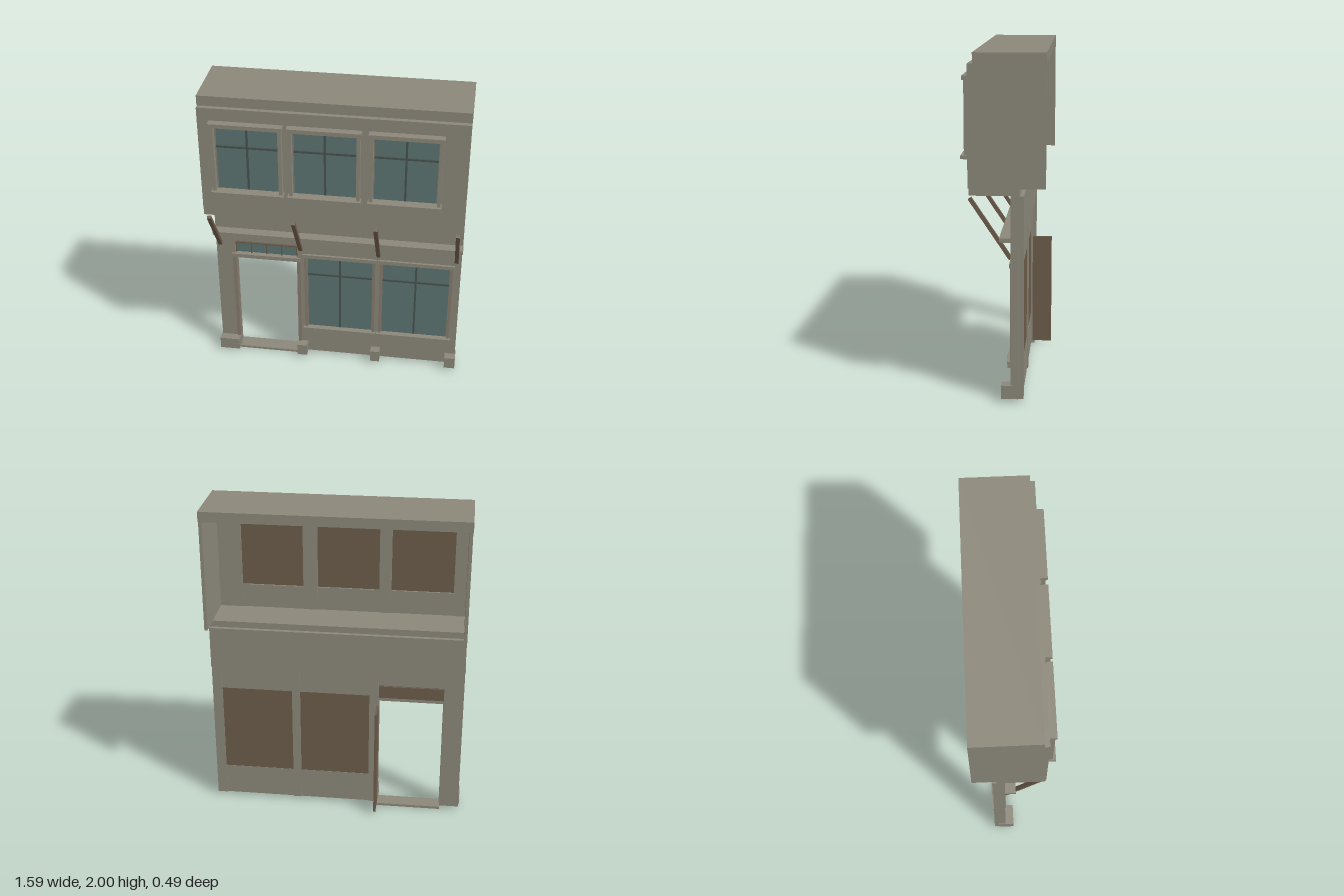
import * as THREE from 'three';

const stone = new THREE.MeshStandardMaterial({ name: 'stone', color: 0x8b877a });
const trim = new THREE.MeshStandardMaterial({ name: 'trim', color: 0x857a6c });
const wood = new THREE.MeshStandardMaterial({ name: 'brown wood', color: 0x6c5c4a });
const glass = new THREE.MeshStandardMaterial({ name: 'teal glass', color: 0x5d7572 });
const bar = new THREE.MeshStandardMaterial({ name: 'dark glazing bar', color: 0x47524e });

export function createModel() {
  const root = new THREE.Group();
  root.name = 'shopFront';

  // Box given by its extents
  const box = (name, mat, x0, x1, y0, y1, z0, z1, parent = root) => {
    const m = new THREE.Mesh(new THREE.BoxGeometry(x1 - x0, y1 - y0, z1 - z0), mat);
    m.position.set((x0 + x1) / 2, (y0 + y1) / 2, (z0 + z1) / 2);
    m.name = name;
    parent.add(m);
    return m;
  };

  // Glazed opening: pane, wooden back, edge trim and a cross of glazing bars
  const glazing = (name, x0, x1, y0, y1, zGlass, zBack, yBar) => {
    const g = new THREE.Group();
    g.name = name;
    root.add(g);
    box('pane', glass, x0, x1, y0, y1, zGlass - 0.008, zGlass, g);
    box('paneBack', wood, x0, x1, y0, y1, zBack, zGlass - 0.008, g);
    const zf = zGlass + 0.012, t = 0.008;
    box('innerFrame', trim, x0, x0 + t, y0, y1, zGlass, zf, g);
    box('innerFrame', trim, x1 - t, x1, y0, y1, zGlass, zf, g);
    const xc = (x0 + x1) / 2;
    box('verticalBar', bar, xc - 0.006, xc + 0.006, y0, y1, zGlass, zf, g);
    box('crossBar', bar, x0 + t, x1 - t, yBar - 0.006, yBar + 0.006, zGlass, zf - 0.002, g);
    return g;
  };

  // Upper storey: roof slab, side walls, floor ledge and front piers
  box('roofSlab', stone, -0.793, 0.793, 1.938, 2, -0.245, 0.16);
  box('rightWall', stone, -0.79, -0.77, 1.25, 1.938, -0.245, 0.14);
  box('leftWall', stone, 0.77, 0.79, 1.25, 1.938, -0.245, 0.14);
  box('floorLedge', stone, -0.79, 0.79, 1.21, 1.25, -0.1, 0.185);
  for (const [a, b] of [[-0.79, -0.695], [-0.31, -0.235], [0.15, 0.24], [0.625, 0.79]])
    box('upperPier', stone, a, b, 1.25, 1.938, 0.14, 0.19);

  // Upper windows with sill, lintel and jambs
  for (const [a, b] of [[-0.695, -0.31], [-0.235, 0.15], [0.24, 0.625]]) {
    box('upperHeader', stone, a, b, 1.835, 1.938, 0.145, 0.188);
    box('upperPanel', stone, a, b, 1.25, 1.4, 0.145, 0.188);
    glazing('upperWindow', a, b, 1.4, 1.835, 0.175, 0.155, 1.69);
    box('upperLintel', stone, a - 0.025, b + 0.025, 1.835, 1.86, 0.185, 0.235);
    box('upperSill', stone, a - 0.025, b + 0.025, 1.39, 1.41, 0.185, 0.245);
    box('upperJamb', stone, a - 0.018, a + 0.003, 1.41, 1.835, 0.175, 0.225);
    box('upperJamb', stone, b - 0.003, b + 0.018, 1.41, 1.835, 0.175, 0.225);
  }

  // Sign band and its lower moulding
  box('signBand', stone, -0.79, 0.79, 0.945, 1.21, -0.125, -0.05);
  box('moulding', stone, -0.793, 0.793, 0.945, 0.97, -0.05, 0.015);

  // Ground floor piers on plinth blocks
  for (const [a, b] of [[-0.79, -0.668], [-0.262, -0.205], [0.232, 0.283], [0.727, 0.788]]) {
    box('pier', stone, a, b, 0.02, 0.945, -0.122, -0.05);
    box('plinth', stone, a - 0.005, b + 0.004, 0.02, 0.1, -0.092, 0.005);
  }

  // Ground floor display windows
  for (const [a, b] of [[-0.205, 0.232], [0.283, 0.727]]) {
    box('lowerPanel', stone, a, b, 0.02, 0.222, -0.115, -0.053);
    box('upperFill', stone, a, b, 0.795, 0.945, -0.115, -0.053);
    glazing('displayWindow', a, b, 0.222, 0.795, -0.072, -0.113, 0.645);
    box('displayJamb', trim, a - 0.012, a + 0.004, 0.23, 0.785, -0.075, -0.042);
    box('displayJamb', trim, b - 0.004, b + 0.012, 0.23, 0.785, -0.075, -0.042);
    box('displayLintel', stone, a - 0.022, b + 0.022, 0.785, 0.81, -0.06, -0.038);
    box('displaySill', stone, a - 0.022, b + 0.022, 0.212, 0.23, -0.06, -0.025);
  }

  // Doorway: threshold, jambs, lintel, transom light and panel above
  box('threshold', stone, -0.67, -0.26, 0, 0.016, -0.135, -0.04);
  box('doorJamb', trim, -0.686, -0.664, 0.1, 0.75, -0.09, -0.043);
  box('doorJamb', trim, -0.264, -0.242, 0.1, 0.75, -0.09, -0.043);
  box('doorLintel', stone, -0.69, -0.245, 0.75, 0.776, -0.09, -0.038);
  box('transomPane', glass, -0.668, -0.262, 0.776, 0.855, -0.08, -0.072);
  box('transomBack', wood, -0.668, -0.262, 0.776, 0.855, -0.1, -0.08);
  for (let i = 0; i <= 4; i++) {
    const x = -0.663 + i * 0.099;
    box('transomBar', wood, x - 0.004, x + 0.004, 0.776, 0.855, -0.072, -0.062);
  }
  box('transomRail', wood, -0.668, -0.262, 0.849, 0.857, -0.09, -0.06);
  box('doorHeader', stone, -0.668, -0.262, 0.87, 0.945, -0.115, -0.053);

  // Door leaf swung open to the back
  box('door', wood, -0.264, -0.25, 0.02, 0.73, -0.245, -0.115);

  // Slanted struts carrying the overhang
  const dy = 0.345, dz = 0.23;
  for (const x of [-0.762, -0.24, 0.262, 0.757]) {
    const s = new THREE.Mesh(new THREE.BoxGeometry(0.024, Math.hypot(dy, dz), 0.022), wood);
    s.position.set(x, 1.017, 0.067);
    s.rotation.x = Math.atan2(dz, dy);
    s.name = 'strut';
    root.add(s);
  }
  return root;
}
